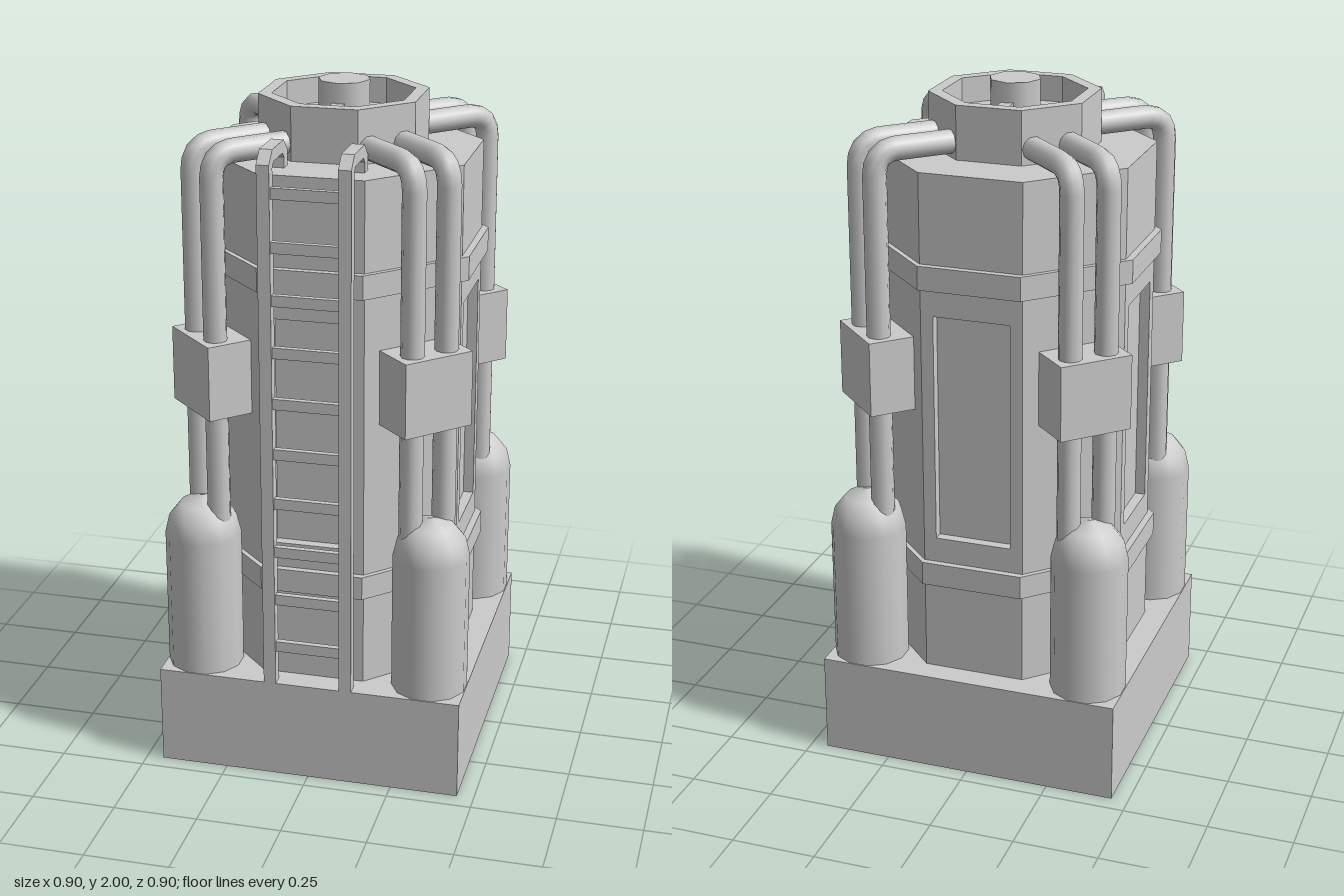
import * as THREE from 'three';

const grey = new THREE.MeshStandardMaterial({ color: 0xcccccc });

function add(parent, name, geometry, x = 0, y = 0, z = 0) {
  const mesh = new THREE.Mesh(geometry, grey);
  mesh.name = name;
  mesh.position.set(x, y, z);
  parent.add(mesh);
  return mesh;
}

// Octagon outline: a = distance to the four main faces, w = their half width.
// A notch { w, d } cuts a recess into each main face.
function octagon(a, w, notch) {
  const pts = [];
  for (let i = 0; i < 4; i++) {
    const side = [[a, -w]];
    if (notch) {
      side.push([a, -notch.w], [a - notch.d, -notch.w], [a - notch.d, notch.w], [a, notch.w]);
    }
    side.push([a, w]);
    for (const [x, y] of side) {
      pts.push(new THREE.Vector2(x, y).rotateAround(new THREE.Vector2(), i * Math.PI / 2));
    }
  }
  return pts;
}

// Upright prism from an outline, with an optional hole
function prism(outline, y0, y1, hole) {
  const shape = new THREE.Shape(outline);
  if (hole) shape.holes.push(new THREE.Path(hole));
  const g = new THREE.ExtrudeGeometry(shape, { depth: y1 - y0, bevelEnabled: false });
  return g.rotateX(-Math.PI / 2).translate(0, y0, 0);
}

function createBody() {
  const body = new THREE.Group();
  body.name = 'body';
  const plain = octagon(0.376, 0.15);
  add(body, 'lowerBody', prism(plain, 0.3, 0.72));
  add(body, 'panelledBody', prism(octagon(0.376, 0.15, { w: 0.113, d: 0.03 }), 0.72, 1.4));
  add(body, 'upperBody', prism(plain, 1.4, 1.81));
  for (const y of [0.575, 1.48]) {
    add(body, 'band', prism(octagon(0.396, 0.15), y, y + 0.07));
  }
  return body;
}

// Hollow cap with a central post and two ribs
function createCap() {
  const cap = new THREE.Group();
  cap.name = 'cap';
  const inner = octagon(0.19, 0.079);
  add(cap, 'capRim', prism(octagon(0.226, 0.095), 1.8, 1.965, inner));
  add(cap, 'capFloor', prism(inner, 1.8, 1.89));
  add(cap, 'post', new THREE.CylinderGeometry(0.075, 0.075, 0.12, 8), 0, 1.94, 0);
  for (const s of [-1, 1]) {
    add(cap, 'rib', new THREE.BoxGeometry(0.036, 0.055, 0.11), 0, 1.915, s * 0.115);
  }
  return cap;
}

// Tank, clamp and pair of pipes, built facing +x and turned to a corner
function createCorner(angle) {
  const corner = new THREE.Group();
  corner.name = 'corner';
  const profile = [[0.111, 0.3], [0.111, 0.715], [0.098, 0.77], [0.066, 0.81], [0, 0.83]]
    .map(([r, y]) => new THREE.Vector2(r, y));
  add(corner, 'tank', new THREE.LatheGeometry(profile, 12), 0.481);
  add(corner, 'clamp', new THREE.BoxGeometry(0.135, 0.22, 0.22), 0.44, 1.21, 0);

  const v = (x, y) => new THREE.Vector3(x, y, 0);
  const path = new THREE.CurvePath();
  path.add(new THREE.LineCurve3(v(0.456, 0.7), v(0.456, 1.785)));
  path.add(new THREE.QuadraticBezierCurve3(v(0.456, 1.785), v(0.456, 1.855), v(0.386, 1.855)));
  path.add(new THREE.LineCurve3(v(0.386, 1.855), v(0.2, 1.855)));
  const pipe = new THREE.TubeGeometry(path, 56, 0.034, 10);
  for (const s of [-1, 1]) add(corner, 'pipe', pipe, 0, 0, s * 0.056);
  corner.rotation.y = angle;
  return corner;
}

function createLadder() {
  const ladder = new THREE.Group();
  ladder.name = 'ladder';
  // Hooked rail in (z, y), ending on the roof of the body
  const rail = new THREE.Shape([
    [0.45, 0.3], [0.45, 1.855], [0.414, 1.89], [0.3, 1.89], [0.263, 1.855], [0.263, 1.805],
    [0.298, 1.805], [0.298, 1.84], [0.312, 1.855], [0.402, 1.855], [0.416, 1.84], [0.416, 0.3],
  ].map(([z, y]) => new THREE.Vector2(z, y)));
  const railGeometry = new THREE.ExtrudeGeometry(rail, { depth: 0.036, bevelEnabled: false });
  railGeometry.translate(0, 0, -0.018).rotateY(-Math.PI / 2);
  for (const s of [-1, 1]) add(ladder, 'rail', railGeometry, s * 0.113);
  const rung = new THREE.BoxGeometry(0.2, 0.032, 0.018);
  for (let i = 0; i < 10; i++) add(ladder, 'rung', rung, 0, 0.417 + i * 0.151, 0.433);
  return ladder;
}

export function createModel() {
  const model = new THREE.Group();
  model.name = 'tower';
  add(model, 'base', new THREE.BoxGeometry(0.9, 0.3, 0.9), 0, 0.15, 0);
  model.add(createBody(), createCap(), createLadder());
  for (let i = 0; i < 4; i++) model.add(createCorner(Math.PI / 4 + i * Math.PI / 2));
  return model;
}
